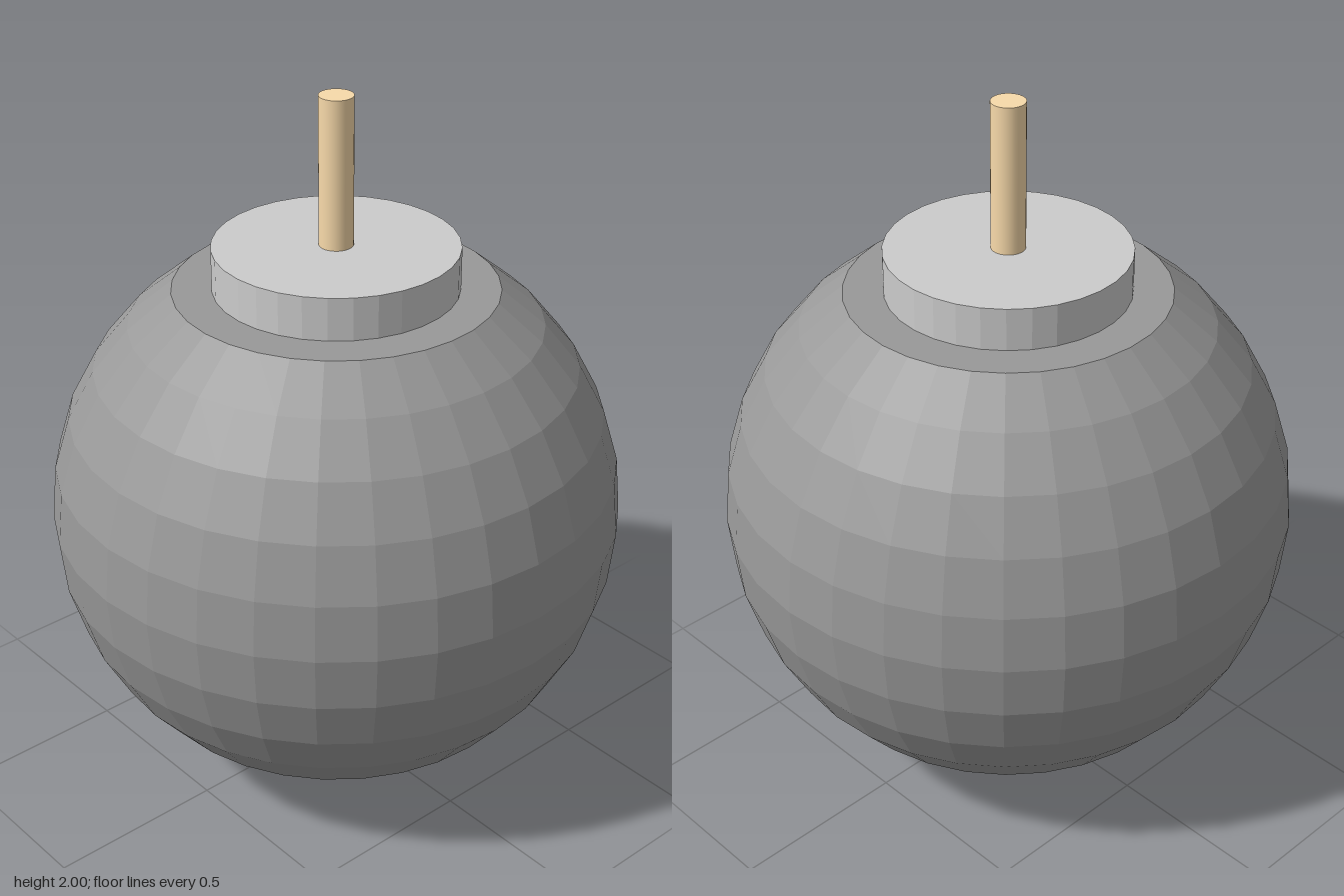
import * as THREE from 'three';

const RADIUS = 0.8;
const CUT = Math.PI * 3 / 16; // polar angle where the ball is cut flat
const TOP_Y = RADIUS + RADIUS * Math.cos(CUT);
const TOP_R = RADIUS * Math.sin(CUT);

export function createModel() {
  const model = new THREE.Group();
  model.name = 'fusedBall';

  const dark = new THREE.MeshStandardMaterial({ color: 0x999999, flatShading: true });
  const grey = new THREE.MeshStandardMaterial({ color: 0xcccccc, flatShading: true });
  const tan = new THREE.MeshStandardMaterial({ color: 0xf8daaa });

  const add = (name, geometry, material, y) => {
    const mesh = new THREE.Mesh(geometry, material);
    mesh.name = name;
    mesh.position.y = y;
    model.add(mesh);
  };
  const addCylinder = (name, radius, bottom, top, sides, material) =>
    add(name, new THREE.CylinderGeometry(radius, radius, top - bottom, sides), material, (bottom + top) / 2);

  // Faceted ball, open where the top is cut off
  add('ball', new THREE.SphereGeometry(RADIUS, 32, 13, 0, Math.PI * 2, CUT, Math.PI - CUT), dark, RADIUS);

  // Flat shoulder closing the cut
  const shoulder = new THREE.CircleGeometry(TOP_R, 32).rotateX(-Math.PI / 2);
  add('shoulder', shoulder, dark, TOP_Y);

  // Neck and the thin fuse standing on it
  addCylinder('neck', 0.335, TOP_Y - 0.02, 1.585, 32, grey);
  addCylinder('fuse', 0.047, 1.57, 2, 32, tan);

  return model;
}
